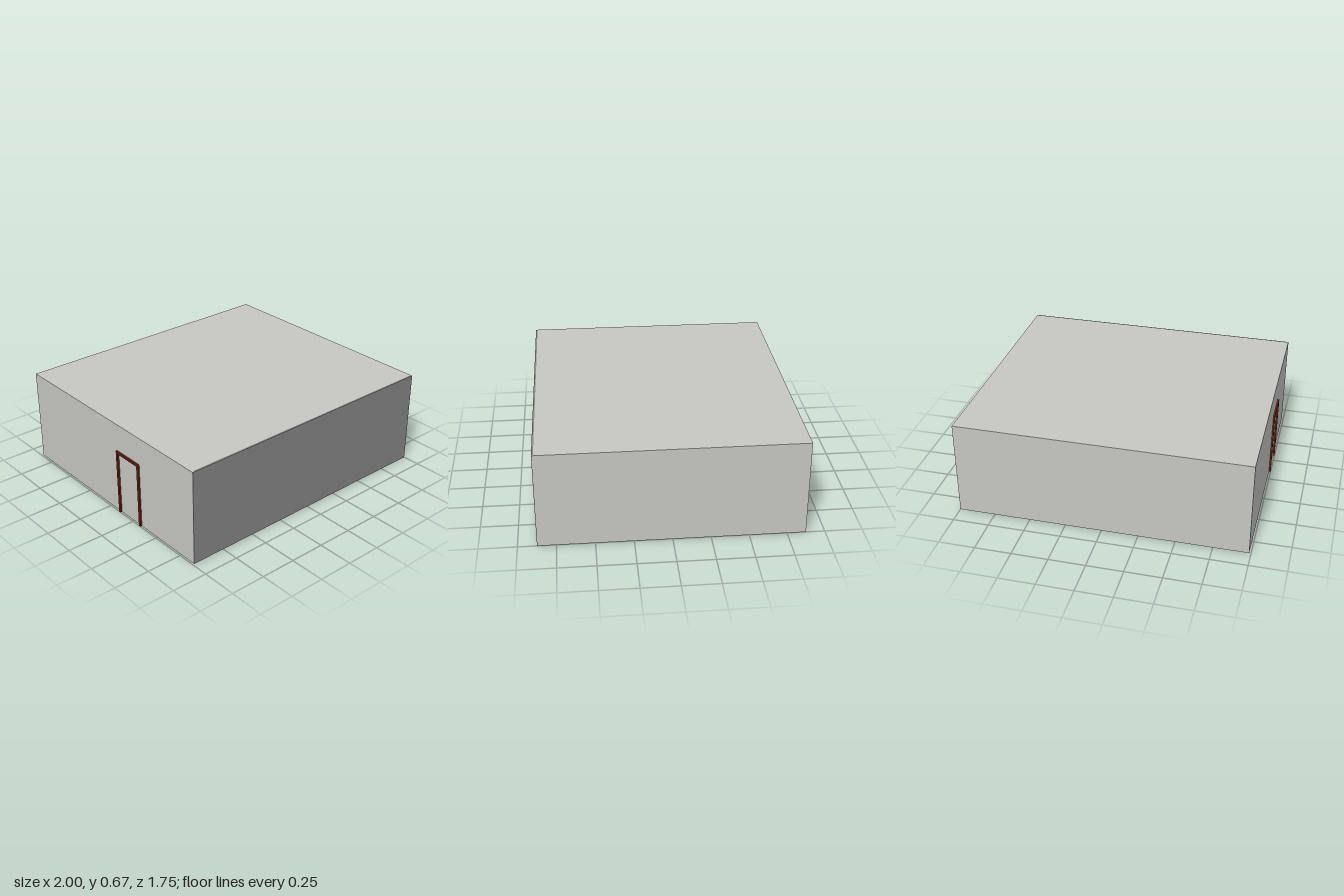
import * as THREE from 'three';

export function createModel() {
  const model = new THREE.Group();
  model.name = 'room';

  const material = (name, color) => {
    const m = new THREE.MeshStandardMaterial({ color });
    m.name = name;
    return m;
  };
  const wallPaint = material('light wall grey', 0xc6c6c2);
  const frontPaint = material('front panel grey', 0x868686);
  const frameWood = material('dark red wood', 0x6a2016);

  // Adds a box given by its lower and upper corners
  const box = (name, mat, [x0, y0, z0], [x1, y1, z1], parent = model) => {
    const mesh = new THREE.Mesh(new THREE.BoxGeometry(x1 - x0, y1 - y0, z1 - z0), mat);
    mesh.position.set((x0 + x1) / 2, (y0 + y1) / 2, (z0 + z1) / 2);
    mesh.name = name;
    parent.add(mesh);
    return mesh;
  };

  const L = -0.988, R = 1, H = 0.665, Z = 0.875, T = 0.012, SKIN = 0.003;

  // Floor and roof slabs, stopping behind the front panel
  box('floor', wallPaint, [L + T, 0, -Z + T], [R - T, T, Z - T]);
  box('roof', wallPaint, [L + T, H - T, -Z + T], [R - T, H, Z - T]);

  // Back and side walls
  box('backWall', wallPaint, [L, 0, -Z], [R, H, -Z + T]);
  box('rightWall', wallPaint, [L, 0, -Z + T], [L + T, H, Z - SKIN]);
  box('leftWall', wallPaint, [R - T, 0, -Z + T], [R, H, Z - SKIN]);

  // Darker front panel: core between the side walls, thin skin over their ends
  box('frontPanelCore', frontPaint, [L + T, 0, Z - T], [R - T, H, Z - SKIN]);
  box('frontPanelSkin', frontPaint, [L, 0, Z - SKIN], [R, H, Z]);

  // Door frame on the outside of the side wall
  const frame = new THREE.Group();
  frame.name = 'doorFrame';
  model.add(frame);
  const z0 = 0.093, z1 = 0.333, top = 0.47, W = 0.018;
  for (const [name, z] of [['backJamb', z0], ['frontJamb', z1 - W]]) {
    box(name, frameWood, [-1, 0, z], [L, top - W, z + W], frame);
  }
  box('doorHead', frameWood, [-1, top - W, z0], [L, top, z1], frame);

  return model;
}
